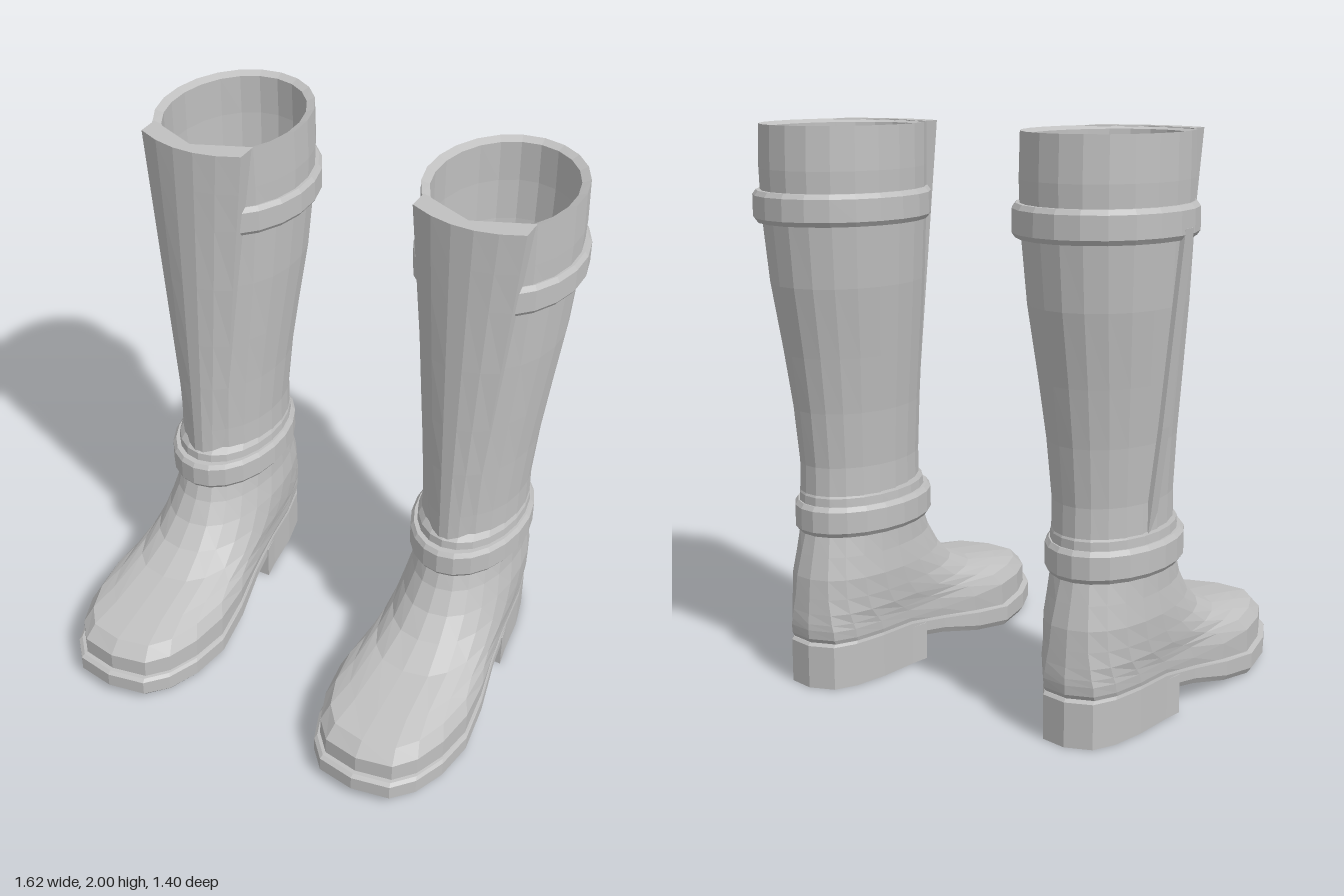
import * as THREE from 'three';

const grey = new THREE.MeshStandardMaterial({ color: 0xc0c0c0, side: THREE.DoubleSide });
grey.name = 'plain grey leather';
const SIDES = 22;

// Skin closed rings of points; faceted normals
function loft(name, rings, { capStart = false, capEnd = false, wrap = false } = {}) {
  const n = rings[0].length, pos = [], idx = [];
  rings.forEach(r => r.forEach(p => pos.push(...p)));
  const rows = wrap ? rings.length : rings.length - 1;
  for (let i = 0; i < rows; i++) {
    const k = (i + 1) % rings.length;
    for (let j = 0; j < n; j++) {
      const m = (j + 1) % n;
      const a = i * n + j, b = i * n + m, c = k * n + m, d = k * n + j;
      idx.push(a, b, d, b, c, d);
    }
  }
  const cap = (row, up) => {
    const c = pos.length / 3;
    const mid = [0, 1, 2].map(q => rings[row].reduce((s, p) => s + p[q], 0) / n);
    pos.push(...mid);
    for (let j = 0; j < n; j++) {
      const a = row * n + j, b = row * n + (j + 1) % n;
      idx.push(c, up ? a : b, up ? b : a);
    }
  };
  if (capStart) cap(0, false);
  if (capEnd) cap(rings.length - 1, true);
  const g = new THREE.BufferGeometry();
  g.setAttribute('position', new THREE.Float32BufferAttribute(pos, 3));
  g.setIndex(idx);
  const flat = g.toNonIndexed();
  flat.computeVertexNormals();
  const mesh = new THREE.Mesh(flat, grey);
  mesh.name = name;
  return mesh;
}

// Horizontal outline from heel (zb) to toe (zf); y is a number or a rule of z
function ring(y, zf, zb, wf, wb = wf, p = 1) {
  const pts = [];
  for (let j = 0; j < SIDES; j++) {
    const t = j / SIDES * Math.PI * 2, s = Math.sin(t);
    const z = (zf + zb) / 2 + (zf - zb) / 2 * Math.cos(t);
    const w = wb + (wf - wb) * THREE.MathUtils.smoothstep((z - zb) / (zf - zb), 0.3, 0.8);
    pts.push([w * Math.sign(s) * Math.abs(s) ** p, typeof y === 'function' ? y(z) : y, z]);
  }
  return pts;
}

// Height of the sole's lower and upper edge along the foot
const soleBottom = z => z > 0.3 ? 0.02 * ((z - 0.3) / 0.4) ** 2 : Math.min(0.1, 0.1 * ((0.3 - z) / 0.46) ** 1.3);
const soleTop = z => z > 0.3 ? 0.085 + 0.05 * (z - 0.3) : Math.min(0.167, 0.085 + 0.15 * (0.3 - z));

// Shaft sections: y, front z, back z, half width
const SHAFT = [
  [0.6, -0.01, -0.555, 0.185], [0.8, -0.015, -0.55, 0.185], [1.0, -0.015, -0.57, 0.2],
  [1.2, -0.015, -0.6, 0.222], [1.45, -0.015, -0.645, 0.25], [1.7, -0.015, -0.67, 0.268],
  [1.85, -0.015, -0.675, 0.272], [2.0, -0.01, -0.67, 0.27],
];

function strap(name, y0, y1, zf, zb, w, thick) {
  const outer = y => ring(y, zf, zb, w), inner = y => ring(y, zf - thick, zb + thick, w - thick);
  const edge = y => ring(y, zf - 0.012, zb + 0.012, w - 0.012);
  const h = y1 - y0;
  return loft(name, [inner(y0), edge(y0), outer(y0 + h * 0.15), outer(y1 - h * 0.15), edge(y1), inner(y1)], { wrap: true });
}

// Raised tapered panel down the front of the shaft
function frontPanel() {
  const cols = [-1, -0.6, -0.2, 0.2, 0.6, 1];
  const rows = [[0.68, 0.085, 0.8], ...SHAFT.slice(1).map(s => [s[0], 0.09 + 0.11 * (s[0] - 0.8) / 1.2])]
    .map(([y, half], i) => {
      const [, zf, zb, w] = SHAFT[Math.max(i, 0)];
      const front = cols.map(c => [c * half, y, 0.006 - 0.055 * c * c]);
      const back = cols.map(c => {
        const x = c * half, cos = Math.sqrt(Math.max(0, 1 - (x / w) ** 2));
        return [x, y, (zf + zb) / 2 + (zf - zb) / 2 * cos - 0.012];
      }).reverse();
      return [...front, ...back];
    });
  return loft('frontPanel', rows, { capStart: true, capEnd: true });
}

function boot(name) {
  const g = new THREE.Group();
  g.name = name;

  // Sole and heel block
  g.add(loft('sole', [
    ring(soleBottom, 0.68, -0.6, 0.285, 0.19, 0.6),
    ring(z => soleBottom(z) + 0.02, 0.7, -0.62, 0.3, 0.2, 0.6),
    ring(z => soleTop(z) - 0.01, 0.7, -0.62, 0.3, 0.2, 0.6),
    ring(soleTop, 0.685, -0.61, 0.292, 0.198, 0.6),
  ], { capStart: true, capEnd: true }));
  const heelRing = y => ring(y, 0.7, -0.62, 0.3, 0.2, 0.6)
    .map(([x, yy, z]) => [THREE.MathUtils.clamp(x, -0.203, 0.203), yy, Math.min(z, -0.16)]);
  g.add(loft('heel', [heelRing(0), heelRing(0.14)], { capStart: true, capEnd: true }));

  // Foot upper, rising from toe cap to ankle
  g.add(loft('foot', [
    ring(z => soleTop(z) - 0.01, 0.67, -0.6, 0.285, 0.195, 0.6),
    ring(z => Math.max(0.17, soleTop(z) + 0.015), 0.668, -0.615, 0.285, 0.2, 0.6),
    ring(0.215, 0.62, -0.618, 0.26, 0.2, 0.6),
    ring(0.238, 0.5, -0.617, 0.237, 0.2, 0.65),
    ring(0.275, 0.3, -0.612, 0.225, 0.2, 0.7),
    ring(0.33, 0.18, -0.607, 0.215, 0.2, 0.8),
    ring(0.4, 0.1, -0.6, 0.205, 0.2, 0.85),
    ring(0.48, 0.045, -0.58, 0.19, 0.19, 0.9),
    ring(0.56, 0.012, -0.56, 0.187),
    ring(0.66, 0, -0.552, 0.186),
  ]));

  // Shaft: outer wall, rim, then the lining back down
  const wall = 0.03;
  const outer = SHAFT.map(s => ring(...s));
  const lining = SHAFT.map(([y, f, b, w]) => ring(y - 0.012, f - wall, b + wall, w - wall)).reverse();
  g.add(loft('shaft', [...outer, ...lining]));
  g.add(frontPanel());

  // Straps
  g.add(strap('upperStrap', 1.665, 1.775, -0.004, -0.7, 0.292, 0.05));
  const ankle = strap('ankleStrap', 0.55, 0.66, 0.05, -0.575, 0.212, 0.05);
  g.add(ankle);
  // Tongue edge above the ankle strap
  g.add(loft('ankleCollar', [ring(0.62, 0.02, -0.56, 0.195), ring(0.69, 0.012, -0.557, 0.19), ring(0.72, -0.02, -0.54, 0.178)]));
  return g;
}

// Narrow pull strip running down the outer side
function pullStrip() {
  const path = [[-0.5, 0.05], [-0.68, 0.62], [-0.735, 1.05], [-0.805, 1.7]];
  const rows = path.map(([x, y], i) => {
    const d = 0.022 + 0.003 * i;
    return [[x - 0.008, y, -0.345 - d], [x - 0.008, y, -0.345 + d], [x + 0.008, y, -0.345 + d], [x + 0.008, y, -0.345 - d]];
  });
  return loft('pullStrip', rows, { capStart: true, capEnd: true });
}

export function createModel() {
  const model = new THREE.Group();
  model.name = 'ridingBoots';
  for (const [name, x] of [['leftBoot', 0.522], ['rightBoot', -0.522]]) {
    const b = boot(name);
    b.position.x = x;
    model.add(b);
  }
  model.add(pullStrip());
  return model;
}
